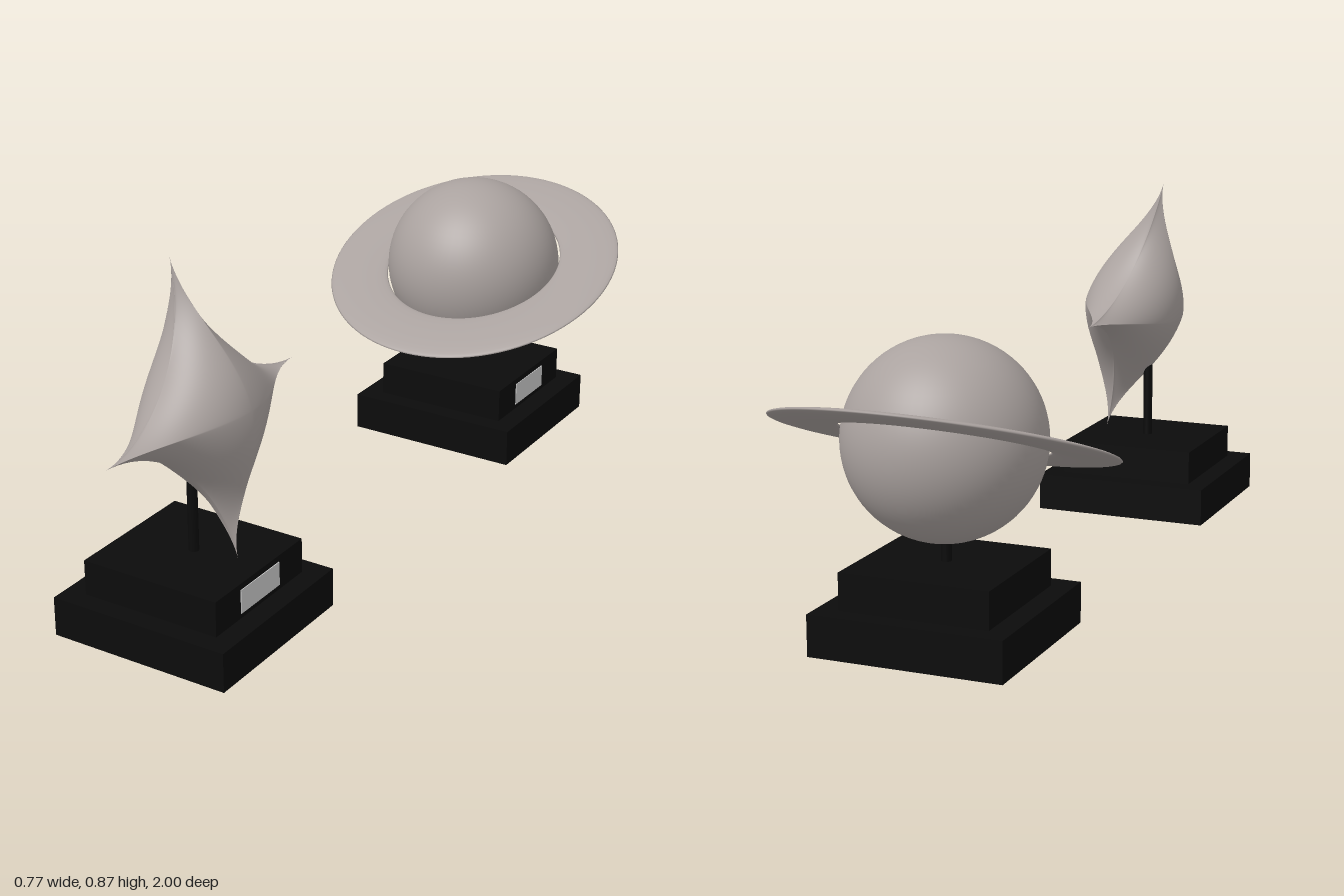
import * as THREE from 'three';
import { mergeVertices } from 'three/addons/utils/BufferGeometryUtils.js';

const black = new THREE.MeshStandardMaterial({ color: 0x0b0b0b });
const stone = new THREE.MeshStandardMaterial({ color: 0xaaa29f });
const plate = new THREE.MeshStandardMaterial({ color: 0xcccccc });

function add(parent, name, geometry, material, x = 0, y = 0, z = 0) {
  const mesh = new THREE.Mesh(geometry, material);
  mesh.name = name;
  mesh.position.set(x, y, z);
  parent.add(mesh);
  return mesh;
}

// Two-step plinth with a plaque on its +x side and a rod up to the sculpture
function makeStand(name, rodTop) {
  const stand = new THREE.Group();
  stand.name = name;
  add(stand, 'lowerStep', new THREE.BoxGeometry(0.456, 0.095, 0.436), black, 0, 0.0475);
  add(stand, 'upperStep', new THREE.BoxGeometry(0.353, 0.085, 0.338), black, 0, 0.1375);
  add(stand, 'plaque', new THREE.BoxGeometry(0.004, 0.058, 0.15), plate, 0.1765, 0.136);
  const height = rodTop - 0.17;
  add(stand, 'rod', new THREE.CylinderGeometry(0.012, 0.012, height, 20), black, 0, 0.17 + height / 2);
  return stand;
}

// Four-pointed star: round at the thick middle, sharpening to a concave rim
function starGeometry(tip, valley, thickness) {
  const geo = new THREE.SphereGeometry(1, 96, 64);
  const pos = geo.attributes.position;
  const spread = (v, e) => Math.sign(v) * Math.pow(Math.abs(v), e);
  for (let i = 0; i < pos.count; i++) {
    const y = THREE.MathUtils.clamp(pos.getY(i), -1, 1);
    const angle = Math.atan2(pos.getZ(i), pos.getX(i));
    const s = 1 - Math.abs(1 - (2 * Math.acos(y)) / Math.PI);
    const h = Math.pow(Math.max(0, Math.cos((s * Math.PI) / 2)), 1.8);
    const a = tip * s;
    const d = valley * Math.sqrt(1 - h * h);
    const e = s < 1e-5 || d < 1e-6 ? 1 : 1 + 2 * Math.max(0, Math.log2(a / d));
    pos.setXYZ(i, a * spread(Math.cos(angle), e), Math.sign(y) * h * thickness, a * spread(Math.sin(angle), e));
  }
  geo.deleteAttribute('uv');
  geo.deleteAttribute('normal');
  const merged = mergeVertices(geo, 1e-5);
  merged.computeVertexNormals();
  return merged.rotateZ(-Math.PI / 2);
}

export function createModel() {
  const model = new THREE.Group();
  model.name = 'spaceSculptures';

  // Star sculpture
  const starPiece = makeStand('starSculpture', 0.5);
  starPiece.position.z = 0.652;
  const star = add(starPiece, 'star', starGeometry(0.348, 0.149, 0.128), stone, 0.04, 0.53);
  star.rotation.z = 0.23;
  model.add(starPiece);

  // Ringed planet sculpture
  const planetPiece = makeStand('planetSculpture', 0.26);
  planetPiece.position.z = -0.637;
  add(planetPiece, 'planet', new THREE.SphereGeometry(0.226, 64, 40), stone, 0, 0.452);

  // Ring: a flattened torus, low at the front
  const ringGeo = new THREE.TorusGeometry(0.308, 0.077, 24, 96);
  ringGeo.rotateX(Math.PI / 2).scale(1, 0.13, 1);
  const ring = add(planetPiece, 'ring', ringGeo, stone, 0, 0.452);
  ring.rotation.x = 0.353;
  model.add(planetPiece);

  return model;
}
